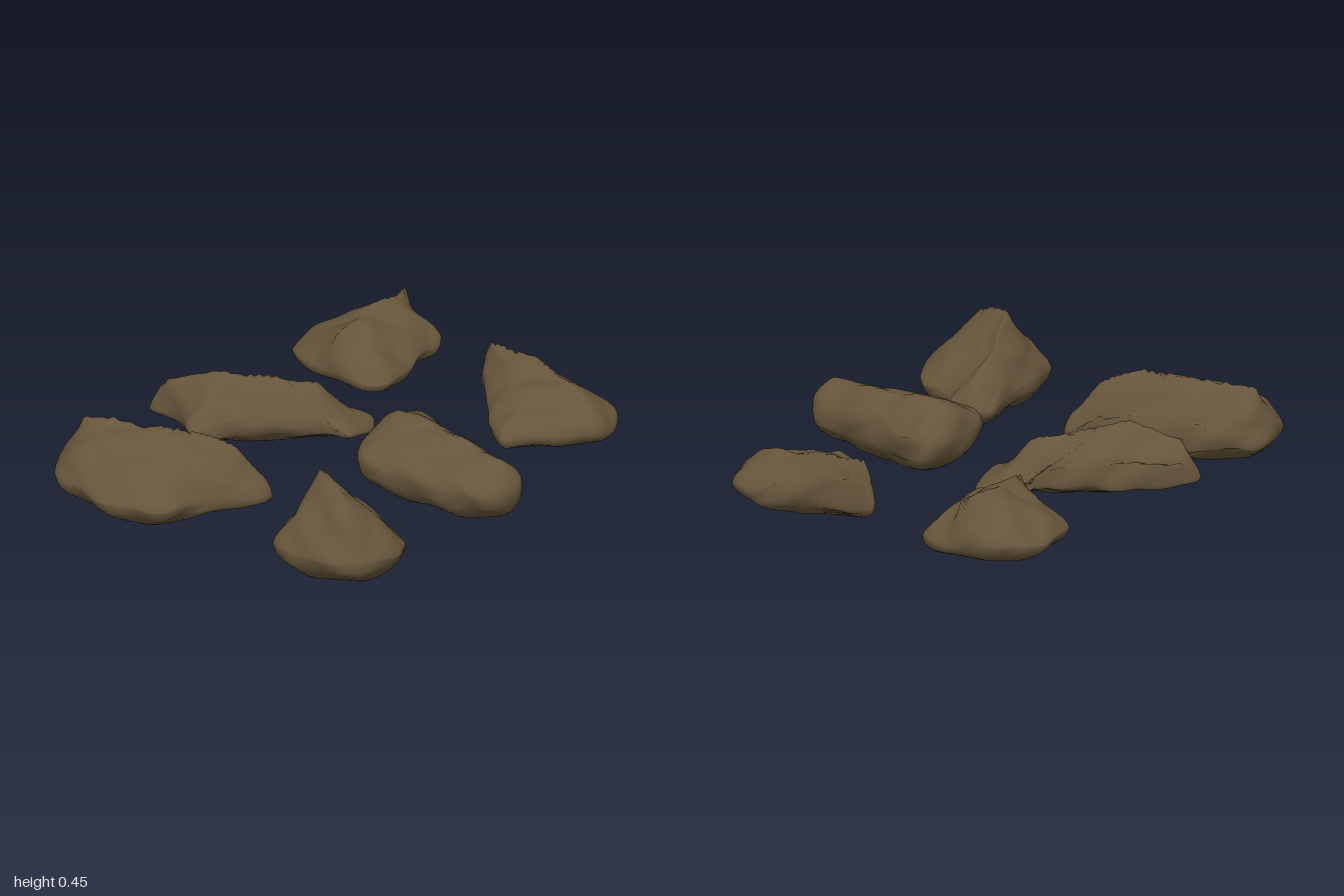
import * as THREE from 'three';
import { mergeVertices } from 'three/addons/utils/BufferGeometryUtils.js';

const stone = new THREE.MeshStandardMaterial({ color: 0x66553b });
stone.name = 'brownStone';

const planDistance = (p, q) => Math.hypot(p.x - q.x, p.z - q.z);

// Continuous warp that chips and dents the surface.
function weather(v) {
  const { x, y, z } = v;
  const chip = (a, b, c, o) => Math.abs(Math.sin(a * x + b * y + c * z + o)) - 0.64;
  v.x += 0.009 * chip(9, 17, 13, 1) + 0.004 * Math.sin(31 * y + 23 * z);
  v.y += 0.012 * chip(15, 6, -11, 2) + 0.005 * Math.sin(27 * x) * Math.sin(23 * z);
  v.z += 0.009 * chip(-12, 19, 8, 3) + 0.004 * Math.sin(25 * x + 33 * y);
  return v;
}

// outline: widest edge in plan as [x, z]; ridge: top line as [x, z, y];
// floor: underside height; edge: height of the outline between floor and ridge;
// bulge: the lower it is, the fuller the upper flanks.
function makeRock(name, { floor, edge, bulge }, outline, ridge) {
  const sides = 96, lower = 12, upper = 22;
  const loop = new THREE.CatmullRomCurve3(
    outline.map(([x, z]) => new THREE.Vector3(x, 0, z)), true, 'centripetal').getPoints(sides).slice(0, sides);
  const ends = ridge.map(([x, z, y]) => new THREE.Vector3(x, y, z));
  const crest = ends.slice(1).flatMap((b, i) =>
    Array.from({ length: 13 }, (_, n) => ends[i].clone().lerp(b, n / 12)));
  const centre = ends[0].clone().lerp(ends[ends.length - 1], 0.5).setY(0);

  // Height of the top or underside at a point in plan.
  function heightAt(p, underside) {
    let sum = 0, total = 0, toCrest = Infinity;
    for (const c of crest) {
      const d = planDistance(p, c), w = 1 / (d * d + 0.0002) ** 2;
      sum += w * c.y;
      total += w;
      toCrest = Math.min(toCrest, d);
    }
    const crestY = sum / total;
    const toEdge = Math.min(...loop.map((q) => planDistance(p, q)));
    const edgeY = THREE.MathUtils.lerp(floor, crestY, edge);
    if (underside) {
      const t = 1 - Math.min(1, toEdge / 0.15);
      const floorY = Math.min(edgeY, floor + 0.25 * planDistance(p, centre) ** 2);
      return THREE.MathUtils.lerp(edgeY, floorY, Math.sqrt(1 - t * t));
    }
    return THREE.MathUtils.lerp(edgeY, crestY, Math.pow(toEdge / (toEdge + toCrest + 1e-6), bulge));
  }

  // Rings run from the underside centre, out to the outline, and back over the top.
  const positions = [], index = [];
  for (let k = -lower; k <= upper; k++) {
    const s = Math.pow(k < 0 ? -k / lower : k / upper, 1.5);
    for (let i = 0; i < sides; i++) {
      const p = loop[i].clone().lerp(centre, s);
      positions.push(...weather(p.setY(heightAt(p, k < 0))).toArray());
    }
  }
  for (let k = 0; k < lower + upper; k++) {
    for (let i = 0; i < sides; i++) {
      const a = k * sides + i, b = k * sides + (i + 1) % sides;
      const c = a + sides, d = b + sides;
      index.push(a, c, b, b, c, d);
    }
  }
  const geometry = new THREE.BufferGeometry();
  geometry.setAttribute('position', new THREE.Float32BufferAttribute(positions, 3));
  geometry.setIndex(index);
  const merged = mergeVertices(geometry, 1e-4);
  merged.computeVertexNormals();
  const mesh = new THREE.Mesh(merged, stone);
  mesh.name = name;
  return mesh;
}

export function createModel() {
  const group = new THREE.Group();
  group.name = 'rocks';

  // Back row
  group.add(makeRock('backRightLongRock', { floor: 0.01, edge: 0.36, bulge: 0.7 },
    [[-.93, -.78], [-.82, -.86], [-.66, -.85], [-.57, -.68], [-.49, -.3], [-.45, -.05],
      [-.53, -.04], [-.76, -.2], [-.92, -.25], [-.99, -.39]],
    [[-.73, -.78, .35], [-.62, -.33, .37], [-.54, -.18, .32], [-.48, -.08, .18]]));
  group.add(makeRock('backMiddleRock', { floor: 0.05, edge: 0.36, bulge: 0.6 },
    [[-.2, -.85], [.03, -.58], [.2, -.3], [.31, -.2], [.31, -.09], [.1, -.05],
      [.06, -.15], [-.2, -.42], [-.33, -.54], [-.24, -.68]],
    [[-.19, -.76, .3], [-.12, -.56, .36], [.13, -.25, .3], [.24, -.13, .13]]));
  group.add(makeRock('backLeftWedgeRock', { floor: 0.05, edge: 0.33, bulge: 0.75 },
    [[.48, -.56], [.53, -.66], [.63, -.7], [.83, -.68], [.9, -.63], [.99, -.38],
      [.98, -.24], [.8, -.21], [.49, -.19]],
    [[.51, -.42, .31], [.7, -.43, .32], [.96, -.41, .34]]));

  // Front row
  group.add(makeRock('frontRightPeakedRock', { floor: 0.02, edge: 0.33, bulge: 0.8 },
    [[-.91, .29], [-.8, .26], [-.6, .29], [-.42, .31], [-.41, .48], [-.49, .53],
      [-.52, .65], [-.66, .74], [-.86, .68], [-.93, .55]],
    [[-.77, .53, .41], [-.71, .38, .46], [-.61, .37, .34], [-.48, .4, .22]]));
  group.add(makeRock('frontMiddleBlockRock', { floor: 0.03, edge: 0.5, bulge: 0.5 },
    [[0, .12], [.24, .19], [.18, .44], [.12, .66], [.08, .82], [0, .86],
      [-.11, .81], [-.16, .7], [-.19, .3], [-.17, .17]],
    [[.06, .2, .35], [.04, .5, .33], [-.01, .78, .31]]));
  group.add(makeRock('frontLeftRidgedRock', { floor: 0.04, edge: 0.38, bulge: 0.6 },
    [[.78, .11], [.83, .35], [.9, .6], [.84, .74], [.7, .79], [.57, .69],
      [.46, .56], [.38, .49], [.56, .3], [.68, .2]],
    [[.77, .17, .35], [.78, .4, .33], [.71, .68, .26]]));

  // Rest the lowest stone on the ground.
  group.position.y = -new THREE.Box3().setFromObject(group).min.y;
  return group;
}
